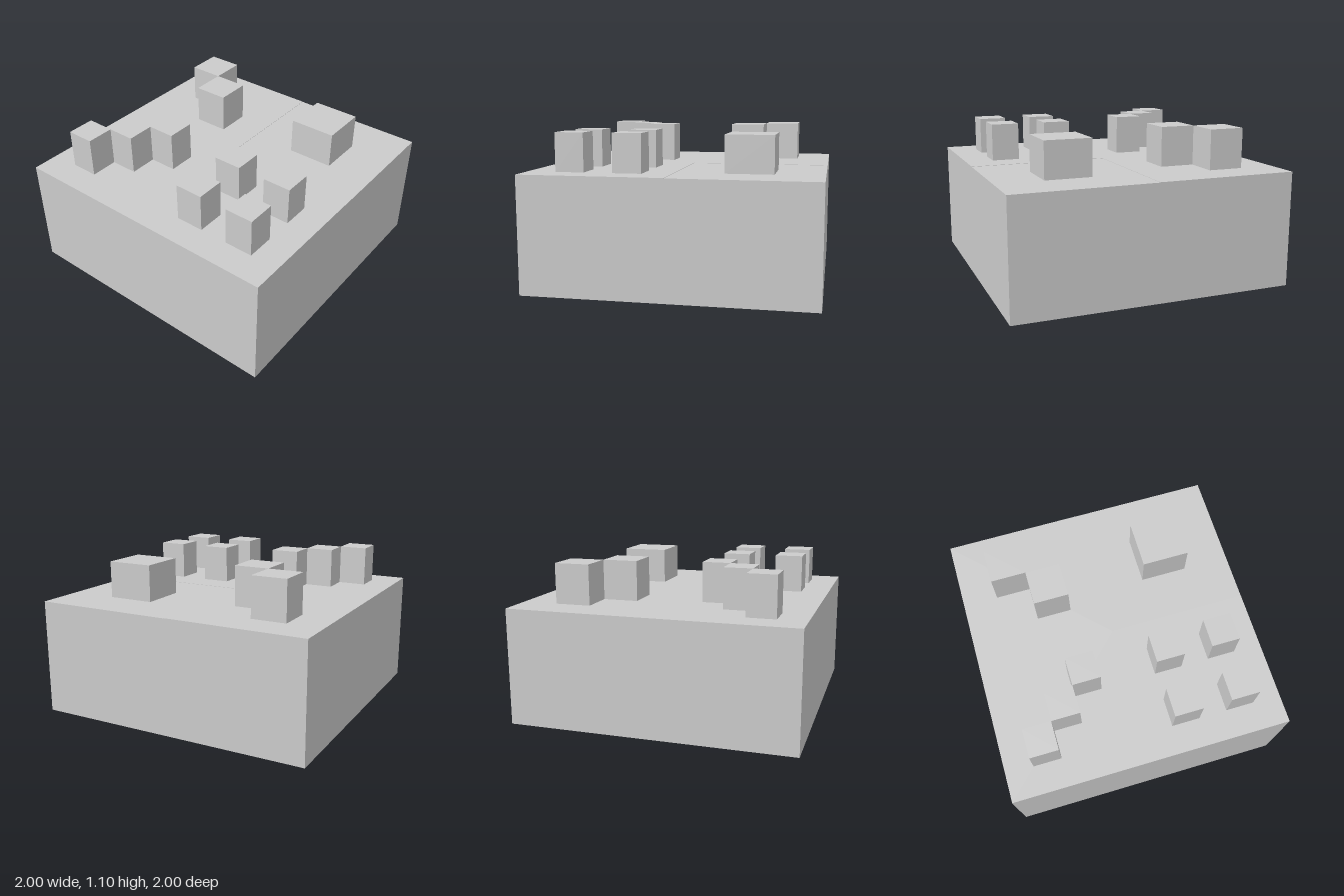
import * as THREE from 'three';

const material = new THREE.MeshStandardMaterial({ color: 0xcccccc, flatShading: true });
const BASE = 0.815; // height of the block
const STEP = 0.002; // slight rise of three of the four quarters

export function createModel() {
  const model = new THREE.Group();

  // Box standing on height y, centred on x and z
  function addBox(parent, name, x, y, z, width, top) {
    const mesh = new THREE.Mesh(new THREE.BoxGeometry(width, top - y, width), material);
    mesh.name = name;
    mesh.position.set(x, (y + top) / 2, z);
    parent.add(mesh);
  }

  function addGroup(name, spots, width, top, floor) {
    const group = new THREE.Group();
    group.name = name;
    spots.forEach(([x, z], i) => addBox(group, `${name}${i + 1}`, x, floor, z, width, top));
    model.add(group);
  }

  // Square block
  addBox(model, 'base', 0, 0, 0, 2, BASE);

  // Thin L-shaped layer over all but the front left quarter
  const shape = new THREE.Shape(
    [[-1, -1], [0, -1], [0, 0], [1, 0], [1, 1], [-1, 1]].map(([x, y]) => new THREE.Vector2(x, y))
  );
  const layer = new THREE.Mesh(
    new THREE.ExtrudeGeometry(shape, { depth: STEP, bevelEnabled: false }), material);
  layer.name = 'topLayer';
  layer.rotation.x = -Math.PI / 2;
  layer.position.y = BASE;
  model.add(layer);

  // Studs: one, two, three and four to a quarter
  const upper = BASE + STEP;
  addGroup('singleStud', [[0.5, 0.5]], 0.333, 1.075, BASE);
  addGroup('pairStud', [[0.375, -0.375], [0.625, -0.625]], 0.25, 1.1, upper);
  addGroup('diagonalStud', [[-0.7, -0.7], [-0.5, -0.5], [-0.3, -0.3]], 0.2, 1.1, upper);
  addGroup('cornerStud', [[-0.7, 0.3], [-0.3, 0.3], [-0.7, 0.7], [-0.3, 0.7]], 0.2, 1.085, upper);

  return model;
}
